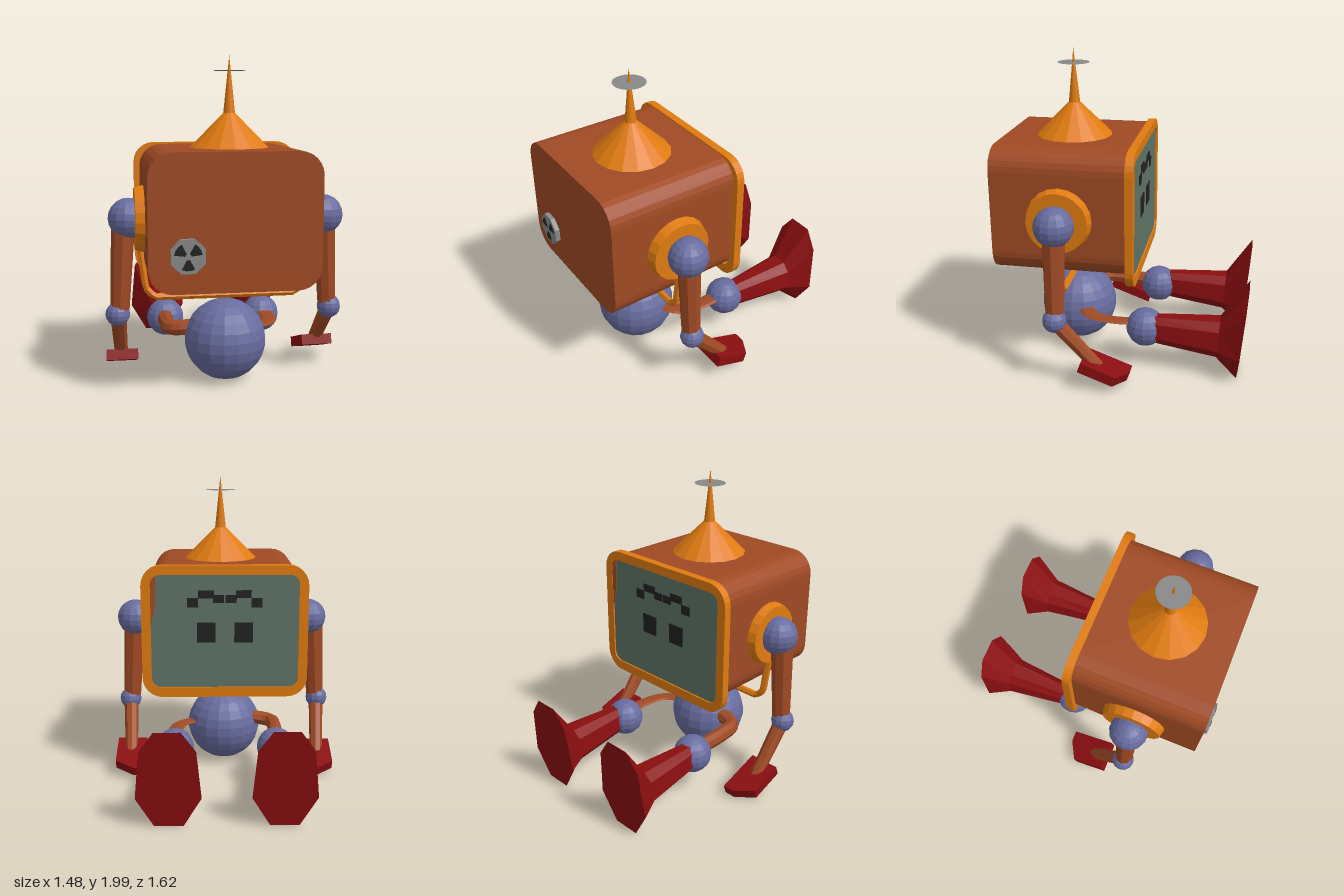
import * as THREE from 'three';

const mat = (name, color, extra = {}) => {
  const m = new THREE.MeshStandardMaterial({ color, flatShading: true, ...extra });
  m.name = name;
  return m;
};

export function createModel() {
  const rust = mat('rust brown', 0xa04a24);
  const orange = mat('orange', 0xe07b10);
  const blue = mat('slate blue', 0x686c9f);
  const red = mat('dark red', 0x8a0e10);
  const grey = mat('grey', 0x888888, { side: THREE.DoubleSide });
  const black = mat('black', 0x222222, { side: THREE.DoubleSide });
  const teal = mat('screen green', 0x5f7467, { side: THREE.DoubleSide });

  const root = new THREE.Group();
  const add = (name, geo, material, x = 0, y = 0, z = 0) => {
    const m = new THREE.Mesh(geo, material);
    m.name = name;
    m.position.set(x, y, z);
    root.add(m);
    return m;
  };
  const V = (x, y, z) => new THREE.Vector3(x, y, z);
  const ball = (name, r, x, y, z, seg = 14) =>
    add(name, new THREE.SphereGeometry(r, seg, Math.round(seg * 0.7)), blue, x, y, z);

  // Tapered limb running from a to b
  const limb = (name, a, b, ra, rb, material) => {
    const d = b.clone().sub(a);
    const m = add(name, new THREE.CylinderGeometry(rb, ra, d.length(), 8), material);
    m.position.copy(a).add(b).multiplyScalar(0.5);
    m.quaternion.setFromUnitVectors(V(0, 1, 0), d.normalize());
  };

  // Rectangle with rounded corners
  const roundRect = (x0, x1, y0, y1, r, Type = THREE.Shape) => {
    const s = new Type();
    s.moveTo(x0 + r, y0);
    s.lineTo(x1 - r, y0);
    s.absarc(x1 - r, y0 + r, r, -Math.PI / 2, 0, false);
    s.lineTo(x1, y1 - r);
    s.absarc(x1 - r, y1 - r, r, 0, Math.PI / 2, false);
    s.lineTo(x0 + r, y1);
    s.absarc(x0 + r, y1 - r, r, Math.PI / 2, Math.PI, false);
    s.lineTo(x0, y0 + r);
    s.absarc(x0 + r, y0 + r, r, Math.PI, Math.PI * 1.5, false);
    return s;
  };
  const extrude = (shape, depth) =>
    new THREE.ExtrudeGeometry(shape, { depth, bevelEnabled: false, curveSegments: 3 });

  // Boxy head
  add('headBox', extrude(roundRect(-0.5, 0.495, 0.66, 1.455, 0.14), 0.86), rust, 0, 0, -0.08);

  // Screen with its raised frame
  const frame = roundRect(-0.535, 0.535, 0.6, 1.465, 0.13);
  frame.holes.push(roundRect(-0.475, 0.475, 0.665, 1.405, 0.06, THREE.Path));
  add('screenFrame', extrude(frame, 0.05), orange, 0, 0, -0.11);
  add('screen', new THREE.ShapeGeometry(roundRect(-0.475, 0.475, 0.665, 1.405, 0.05), 3), teal, 0, 0, -0.1);
  const strip = new THREE.Shape([[0.475, 1.08], [0.475, 1.4], [0.44, 1.4], [0.445, 1.2]]
    .map(p => new THREE.Vector2(...p)));
  add('screenEdge', extrude(strip, 0.006), rust, 0, 0, -0.107);

  // Blocky face drawn on the screen
  const pixels = [[0.12, 1.03, 0.12, 0.13], [0.205, 1.225, 0.07, 0.06],
    [0.12, 1.28, 0.1, 0.05], [0.04, 1.25, 0.07, 0.05]];
  for (const s of [-1, 1]) for (const [x, y, w, h] of pixels)
    add('facePixel', new THREE.BoxGeometry(w, h, 0.006), black, s * x, y, -0.103);

  // Antenna on a cone with a thin disc near its tip
  add('antenna', new THREE.LatheGeometry([[0.24, 1.455], [0.036, 1.66], [0, 2]]
    .map(p => new THREE.Vector2(...p)), 16), orange, 0.022, 0, 0.35);
  const disc = add('antennaDisc', new THREE.CircleGeometry(0.1, 24), grey, 0.022, 1.91, 0.35);
  disc.rotation.x = -Math.PI / 2;

  // Round badge with three dark wedges
  const badge = add('badge', new THREE.CylinderGeometry(0.105, 0.105, 0.03, 8), grey, -0.28, 0.88, 0.795);
  badge.rotation.set(Math.PI / 2, Math.PI / 8, 0);
  for (const a of [35, 145, 270]) {
    const t = THREE.MathUtils.degToRad(a);
    add('badgeWedge', new THREE.RingGeometry(0.018, 0.08, 3, 1, t - 0.48, 0.96), black, -0.28, 0.88, 0.813);
  }

  // Carrying handle under the head, joined to the shoulder discs
  const handle = new THREE.CurvePath();
  const pts = [V(-0.525, 0.86, 0.35), V(-0.49, 0.6, 0.35), V(-0.44, 0.545, 0.35),
    V(0.44, 0.545, 0.35), V(0.49, 0.6, 0.35), V(0.525, 0.86, 0.35)];
  for (let i = 1; i < pts.length; i++) handle.add(new THREE.LineCurve3(pts[i - 1], pts[i]));
  add('handle', new THREE.TubeGeometry(handle, 40, 0.023, 6), orange);

  // Ball body
  ball('bodyBall', 0.253, 0, 0.263, 0.35, 18);

  // Shin flaring into a tilted eight-sided foot
  const legGeometry = () => {
    const ring = (w, y0, y1, z0, z1, cut) => [[cut, 0], [1, 0.3], [0.85, 0.8], [cut * 0.9, 1],
      [-cut * 0.9, 1], [-0.85, 0.8], [-1, 0.3], [-cut, 0]]
      .map(([x, t]) => [x * w, y0 + (y1 - y0) * t, z0 + (z1 - z0) * t]);
    const rings = [ring(0.07, 0.19, 0.365, -0.2, -0.2, 0.45),
      ring(0.12, 0.135, 0.38, -0.62, -0.64, 0.45), ring(0.195, 0.015, 0.62, -0.755, -0.81, 0.45)];
    const pos = rings.flat(2);
    const idx = [];
    for (let r = 0; r < 2; r++) for (let i = 0; i < 8; i++) {
      const a = r * 8 + i, b = r * 8 + (i + 1) % 8;
      idx.push(a, a + 8, b, b, a + 8, b + 8);
    }
    for (let i = 1; i < 7; i++) idx.push(16, 16 + i + 1, 16 + i, 0, i, i + 1);
    const g = new THREE.BufferGeometry();
    g.setAttribute('position', new THREE.Float32BufferAttribute(pos, 3));
    g.setIndex(idx);
    g.computeVertexNormals();
    return g;
  };

  for (const s of [-1, 1]) {
    const side = s > 0 ? 'left' : 'right';

    // Shoulder disc and arm
    const plate = add(side + 'ShoulderDisc', new THREE.CylinderGeometry(0.19, 0.205, 0.06, 20), orange, s * 0.525, 1.03, 0.35);
    plate.rotation.z = -s * Math.PI / 2;
    const sx = s > 0 ? 0.615 : -0.59;
    ball(side + 'Shoulder', 0.123, sx, 1.035, 0.35);
    limb(side + 'UpperArm', V(s * 0.622, 1, 0.35), V(s * 0.65, 0.46, 0.35), 0.072, 0.058, rust);
    ball(side + 'Elbow', 0.075, s * 0.663, 0.445, 0.35, 12);
    const dz = s > 0 ? 0 : 0.035, dy = s > 0 ? 0 : -0.03;
    limb(side + 'Forearm', V(s * 0.66, 0.44, 0.35), V(s * 0.64, 0.14 + dy, 0.09 + dz), 0.05, 0.042, rust);

    // Mitten hand, tilted down toward the fingers
    const outline = [[-0.1, -0.15], [0.1, -0.15], [0.1, 0.08], [-0.025, 0.155], [-0.1, 0.155]]
      .map(([x, y]) => new THREE.Vector2(s * x, y));
    const handGeo = extrude(new THREE.Shape(outline), 0.066);
    handGeo.translate(0, 0, -0.033);
    handGeo.rotateX(-Math.PI / 2 - 0.35);
    add(side + 'Hand', handGeo, red, s * 0.637, 0.125 + dy, 0.048 + dz);

    // Thigh: a round bar on one side, a flattened strap on the other
    const path = new THREE.CatmullRomCurve3(s < 0
      ? [V(-0.15, 0.33, 0.28), V(-0.32, 0.31, 0.24), V(-0.345, 0.305, 0.12), V(-0.335, 0.29, -0.14)]
      : [V(0.15, 0, 0.28), V(0.29, 0, 0.2), V(0.335, 0, 0.05), V(0.325, 0, -0.14)]);
    const thigh = add(side + 'Thigh', new THREE.TubeGeometry(path, 14, 0.05, 8), rust);
    if (s > 0) {
      thigh.scale.y = 0.25;
      thigh.position.y = 0.305;
    }

    // Knee and lower leg
    const kx = s > 0 ? 0.328 : -0.333;
    ball(side + 'Knee', 0.124, kx, 0.273, -0.16);
    add(side + 'LowerLeg', legGeometry(), red, s * 0.343, 0, 0);
  }
  return root;
}
